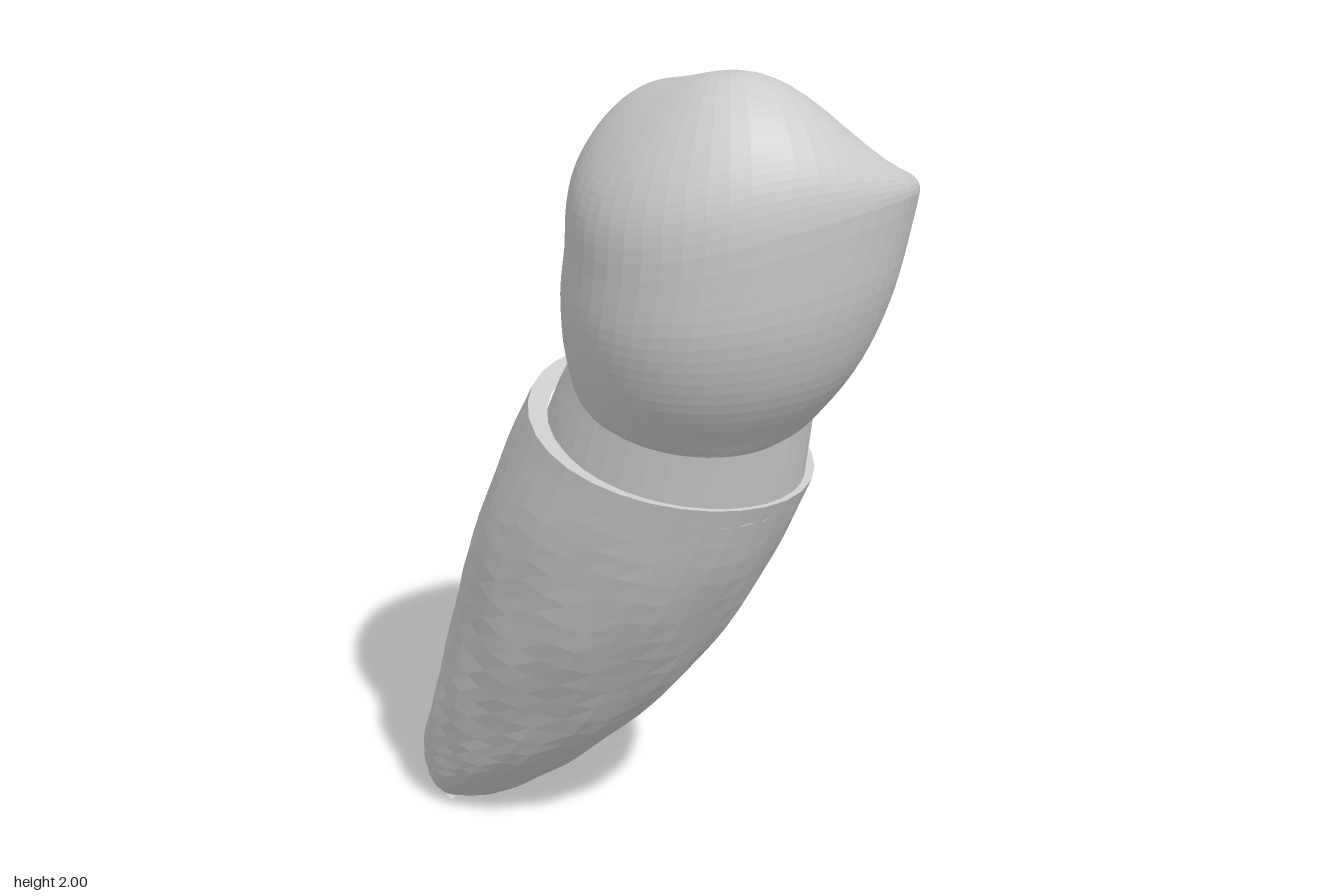
import * as THREE from 'three';

const material = new THREE.MeshStandardMaterial({ color: 0xcccccc, flatShading: true, roughness: 0.8 });

// Interpolates tilted rings given as [zFront, yFront, zBack, yBack, xMin, xMax].
// skew shifts front and back apart in x, shift moves both in +x, taper narrows the back,
// tilt raises the +x side, arch raises both sides, turn moves the +x side backwards
function ringSampler(rings) {
  const track = (a, b) => new THREE.CatmullRomCurve3(
    rings.map(r => new THREE.Vector3(r[a], r[b], 0)), false, 'catmullrom', 0.5);
  const front = track(0, 1), back = track(2, 3), side = track(4, 5);
  return (t, angle, { skew = 0, shift = 0, taper = 0, tilt = 0, arch = 0, turn = 0 }) => {
    const f = front.getPoint(t), b = back.getPoint(t), s = side.getPoint(t);
    const c = Math.cos(angle), n = Math.sin(angle), k = (1 + n) / 2;
    return new THREE.Vector3(
      (s.x + s.y) / 2 + c * (1 + taper * n) * (s.y - s.x) / 2 + skew * n + shift * n * n,
      b.y + (f.y - b.y) * k + tilt * c + arch * c * c,
      b.x + (f.x - b.x) * k - turn * c);
  };
}

// Skins a surface through rings running upwards
function skin(name, rows, cols, pointAt) {
  const positions = [], index = [];
  for (let i = 0; i <= rows; i++) {
    for (let j = 0; j < cols; j++) {
      const p = pointAt(i / rows, (j / cols) * Math.PI * 2);
      positions.push(p.x, p.y, p.z);
      if (i === rows) continue;
      const a = i * cols + j, b = i * cols + (j + 1) % cols;
      index.push(a, a + cols, b, b, a + cols, b + cols);
    }
  }
  const geometry = new THREE.BufferGeometry();
  geometry.setAttribute('position', new THREE.Float32BufferAttribute(positions, 3));
  geometry.setIndex(index);
  geometry.computeVertexNormals();
  const mesh = new THREE.Mesh(geometry, material);
  mesh.name = name;
  return mesh;
}

const bump = (x, z, cx, cz, rx, rz = rx) =>
  Math.exp(-(((x - cx) / rx) ** 2) - ((z - cz) / rz) ** 2);

// Height of the chewing surface: broad tall cusp, small cusp, rear ridge and a groove between
const chewingHeight = (x, z) => 1.77
  + 0.235 * bump(x, z, -0.11, 0.4, 0.27, 0.31)
  + 0.13 * bump(x, z, 0.25, 0.1, 0.13, 0.15)
  + 0.09 * bump(x, z, -0.04, 0.04, 0.26, 0.17)
  - 0.1 * bump(x, z, 0.18, 0.37, 0.09, 0.14);

// Slight hand-worked unevenness
const wobble = (t, a) => 0.003 * (Math.sin(5 * a + 19 * t) + Math.sin(9 * a - 31 * t));

export function createModel() {
  const tooth = new THREE.Group();
  tooth.name = 'tooth';

  // Root: swept back with a narrow rear edge and rounded tip
  const root = ringSampler([
    [-0.52, 0, -0.53, 0, -0.09, -0.06],
    [-0.44, 0.02, -0.61, 0.04, -0.13, 0.015],
    [-0.35, 0.08, -0.635, 0.12, -0.165, 0.075],
    [-0.2, 0.2, -0.605, 0.28, -0.2, 0.145],
    [-0.02, 0.38, -0.535, 0.53, -0.235, 0.235],
    [0.15, 0.6, -0.44, 0.8, -0.275, 0.295],
    [0.29, 0.83, -0.34, 1.03, -0.293, 0.31],
    [0.39, 1.04, -0.24, 1.22, -0.29, 0.313],
  ]);
  tooth.add(skin('root', 28, 32, (t, a) => {
    const p = root(t, a, { skew: 0.04 - 0.03 * t, shift: 0.04 * t, taper: 0.18 * (1 - t) });
    const w = wobble(t, a) * Math.sin(Math.PI * t);
    p.x += w * Math.cos(a);
    p.z += w * Math.sin(a);
    return p;
  }));

  // Ledge closing the top of the root towards the neck
  const ledge = ringSampler([
    [0.39, 1.04, -0.24, 1.22, -0.29, 0.313],
    [0.36, 1.045, -0.2, 1.2, -0.25, 0.285],
  ]);
  tooth.add(skin('rootRim', 1, 32, (t, a) => ledge(t, a, { skew: 0.01, shift: 0.04 })));

  // Neck: recessed band between root and crown
  const neck = ringSampler([
    [0.37, 1.0, -0.22, 1.17, -0.258, 0.292],
    [0.392, 1.12, -0.185, 1.25, -0.254, 0.292],
    [0.41, 1.22, -0.14, 1.33, -0.25, 0.292],
  ]);
  tooth.add(skin('neck', 4, 40, (t, a) =>
    neck(t, a, { skew: -0.02 * t, shift: 0.04, tilt: 0.02, arch: 0.015 * t })));

  // Crown: bulging wall, then rings closing over the cusps
  const wall = ringSampler([
    [0.4, 1.19, -0.13, 1.3, -0.245, 0.285],
    [0.43, 1.22, -0.145, 1.32, -0.262, 0.3],
    [0.535, 1.36, -0.147, 1.41, -0.315, 0.305],
    [0.6, 1.53, -0.142, 1.51, -0.348, 0.325],
    [0.632, 1.74, -0.135, 1.61, -0.352, 0.346],
  ]);
  const wallShare = 0.45;
  tooth.add(skin('crown', 48, 56, (t, a) => {
    const w = Math.min(t / wallShare, 1), low = 1 - w;
    const p = wall(w, a, {
      skew: -0.03 * low + 0.025 * w, shift: 0.03 + 0.05 * w,
      tilt: 0.03 * low, arch: 0.015 * low - 0.05 * w, turn: 0.05 * w,
    });
    if (t <= wallShare) return p;
    const u = (t - wallShare) / (1 - wallShare);
    const s = Math.cos(u * Math.PI / 2);
    const x = p.x * s, z = 0.26 + (p.z - 0.26) * s;
    const rise = Math.cbrt(1 - s ** 3);
    return new THREE.Vector3(x, p.y + (chewingHeight(x, z) - p.y) * rise, z);
  }));

  return tooth;
}
